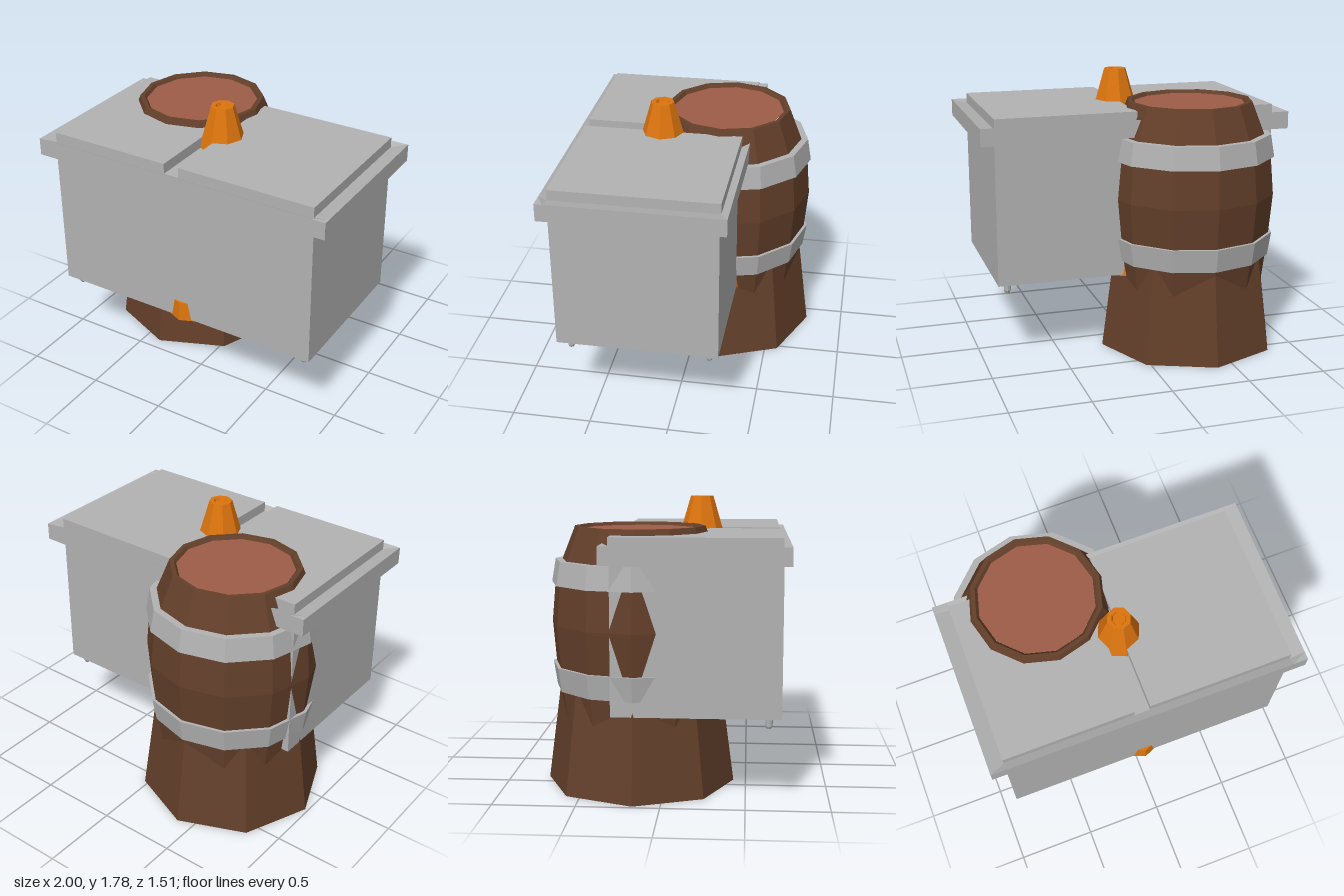
import * as THREE from 'three';

const mat = (name, color, extra = {}) => {
  const m = new THREE.MeshStandardMaterial({ color, flatShading: true, ...extra });
  m.name = name;
  return m;
};

export function createModel() {
  const root = new THREE.Group();
  const grey = mat('grey metal', 0xb2b2b2);
  const brown = mat('brown wood', 0x633f2a);
  const clay = mat('barrel lid', 0x9e5c48);
  const orange = mat('orange plastic', 0xdc740e);

  const add = (name, geo, material, x = 0, y = 0, z = 0) => {
    const m = new THREE.Mesh(geo, material);
    m.name = name;
    m.position.set(x, y, z);
    root.add(m);
    return m;
  };
  // profile runs as [radius, height], outer side from bottom to top
  const lathe = (pts, sides) =>
    new THREE.LatheGeometry(pts.map(p => new THREE.Vector2(...p)), sides);

  // Chest body
  add('chestBody', new THREE.BoxGeometry(1.815, 0.96, 1.01), grey, 0, 1.0, 0.205);

  // Chest rim: its top slopes slightly inwards around the lids
  const rim = new THREE.BoxGeometry(2, 0.11, 1.11, 3, 1, 3);
  const p = rim.attributes.position;
  for (let i = 0; i < p.count; i++) {
    const inX = Math.abs(p.getX(i)) < 0.9, inZ = Math.abs(p.getZ(i)) < 0.5;
    if (inX) p.setX(i, Math.sign(p.getX(i)) * 0.905);
    if (inZ) p.setZ(i, Math.sign(p.getZ(i)) * 0.508);
    if (inX && inZ && p.getY(i) > 0) p.setY(i, 0.035);
  }
  rim.computeVertexNormals();
  add('chestRim', rim, grey, 0, 1.48, 0.2);

  // Two lid panels with a gap between them
  for (const [name, x0, x1] of [['rightLid', -0.907, -0.095], ['leftLid', 0.005, 0.905]])
    add(name, new THREE.BoxGeometry(x1 - x0, 0.09, 1.014), grey, (x0 + x1) / 2, 1.535, 0.2);

  // Feet
  const foot = lathe([[0, 0.455], [0.015, 0.455], [0.022, 0.47], [0.022, 0.53]], 8);
  for (const x of [-0.85, 0.84])
    for (const z of [-0.235, 0.635]) add('foot', foot, grey, x, 0, z);

  // Barrel on its tapered stand
  const bx = -0.39, bz = -0.167;
  add('barrelStand', lathe([[0, 0], [0.59, 0], [0.505, 0.64], [0, 0.64]], 8), brown, bx, 0, bz);
  add('barrelBody', lathe([[0, 0.3], [0.465, 0.3], [0.49, 0.4], [0.53, 0.73], [0.555, 1.02],
    [0.53, 1.3], [0.405, 1.615], [0.378, 1.615], [0.362, 1.595]], 12), brown, bx, 0, bz);
  add('barrelLid', lathe([[0.362, 1.596], [0, 1.596]], 12), clay, bx, 0, bz);

  // Barrel hoops, the lower one mirrored in height
  add('upperHoop', lathe([[0.5, 1.265], [0.555, 1.265], [0.53, 1.41], [0.47, 1.41]], 12),
    grey, bx, 0, bz);
  add('lowerHoop', lathe([[0.48, 0.612], [0.53, 0.612], [0.553, 0.762], [0.5, 0.762]], 12),
    grey, bx, 0, bz);

  // Cone standing through the chest, with a dimple in its tip
  add('cone', lathe([[0.54, 0.511], [0.53, 0.635], [0.4, 0.635], [0.145, 1.535], [0.073, 1.783],
    [0.045, 1.783], [0.038, 1.765], [0, 1.765]], 8), orange, 0, 0, 0.2);

  // Cone underside with two openings
  const ring = new THREE.Shape(Array.from({ length: 8 }, (_, i) =>
    new THREE.Vector2(0.54 * Math.cos(i * Math.PI / 4), 0.54 * Math.sin(i * Math.PI / 4))));
  const holes = [
    [[0.41, 0.21], [0.48, 0], [0.42, -0.16]],
    [[0.335, 0.335], [0.03, 0.09], [-0.03, 0.43], [0.04, 0.465]],
  ];
  for (const h of holes)
    ring.holes.push(new THREE.Path(h.map(q => new THREE.Vector2(...q))));
  const under = new THREE.ShapeGeometry(ring);
  under.rotateX(Math.PI / 2);
  add('coneUnderside', under, orange, 0, 0.511, 0.2);

  return root;
}
